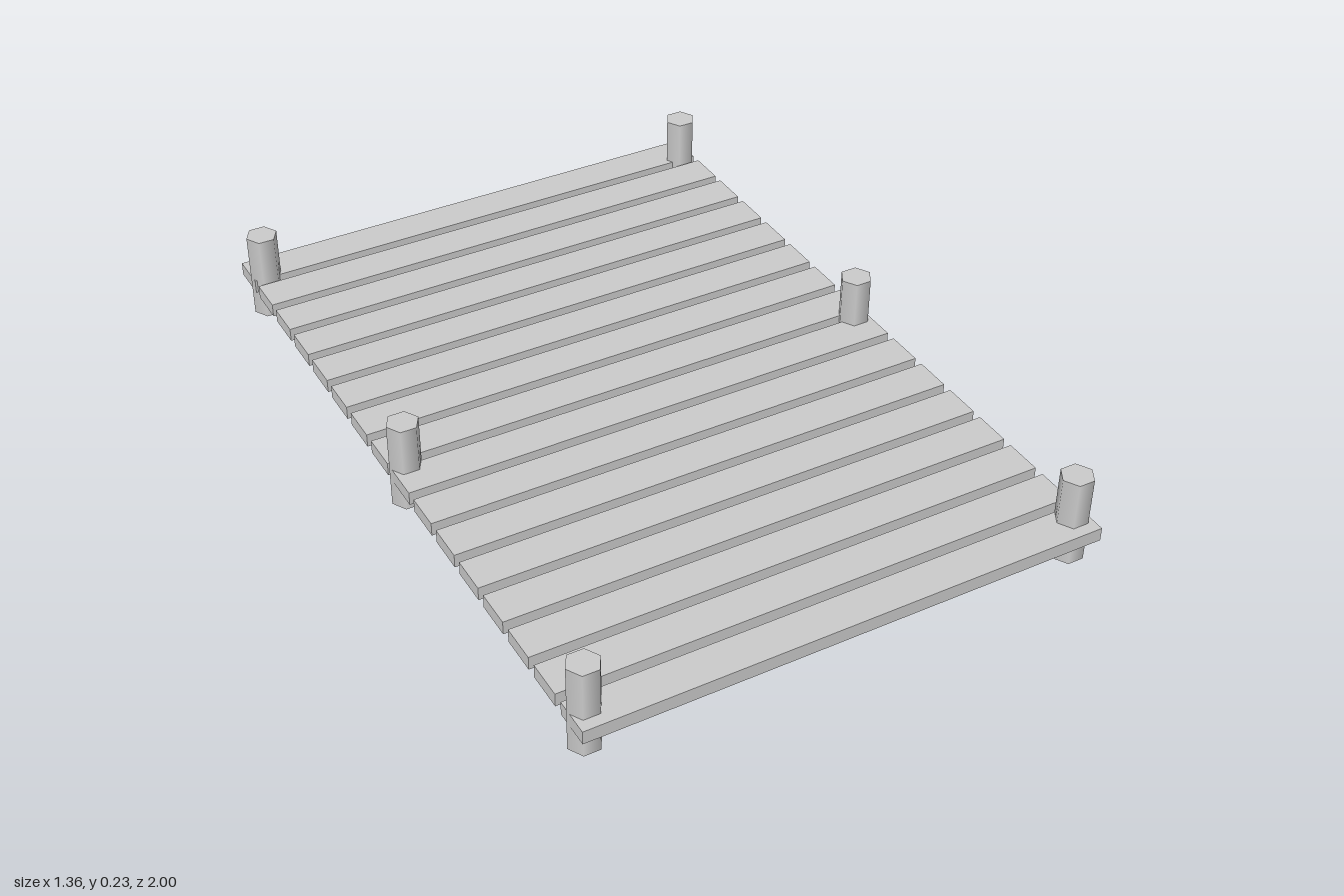
import * as THREE from 'three';

export function createModel() {
  const group = new THREE.Group();
  group.name = 'plankDeck';
  const material = new THREE.MeshStandardMaterial({ color: 0xcccccc });

  // Deck planks, evenly spaced from back to front
  const count = 16, width = 0.1, thickness = 0.036;
  const pitch = (2 - width) / (count - 1);
  const plankGeometry = new THREE.BoxGeometry(1.356, thickness, width);
  for (let i = 0; i < count; i++) {
    const plank = new THREE.Mesh(plankGeometry, material);
    plank.name = `plank${i + 1}`;
    plank.position.set(0, 0.09, -1 + width / 2 + i * pitch);
    group.add(plank);
  }

  // Six-sided posts with corners pointing sideways, three along each edge
  const height = 0.235;
  const postGeometry = new THREE.CylinderGeometry(0.042, 0.042, height, 6);
  postGeometry.rotateY(Math.PI / 2);
  const rows = { back: -0.917, middle: 0.008, front: 0.934 };
  for (const [row, z] of Object.entries(rows)) {
    for (const [side, x] of [['Left', 0.64], ['Right', -0.64]]) {
      const post = new THREE.Mesh(postGeometry, material);
      post.name = `${row}${side}Post`;
      post.position.set(x, height / 2, z);
      group.add(post);
    }
  }

  return group;
}
